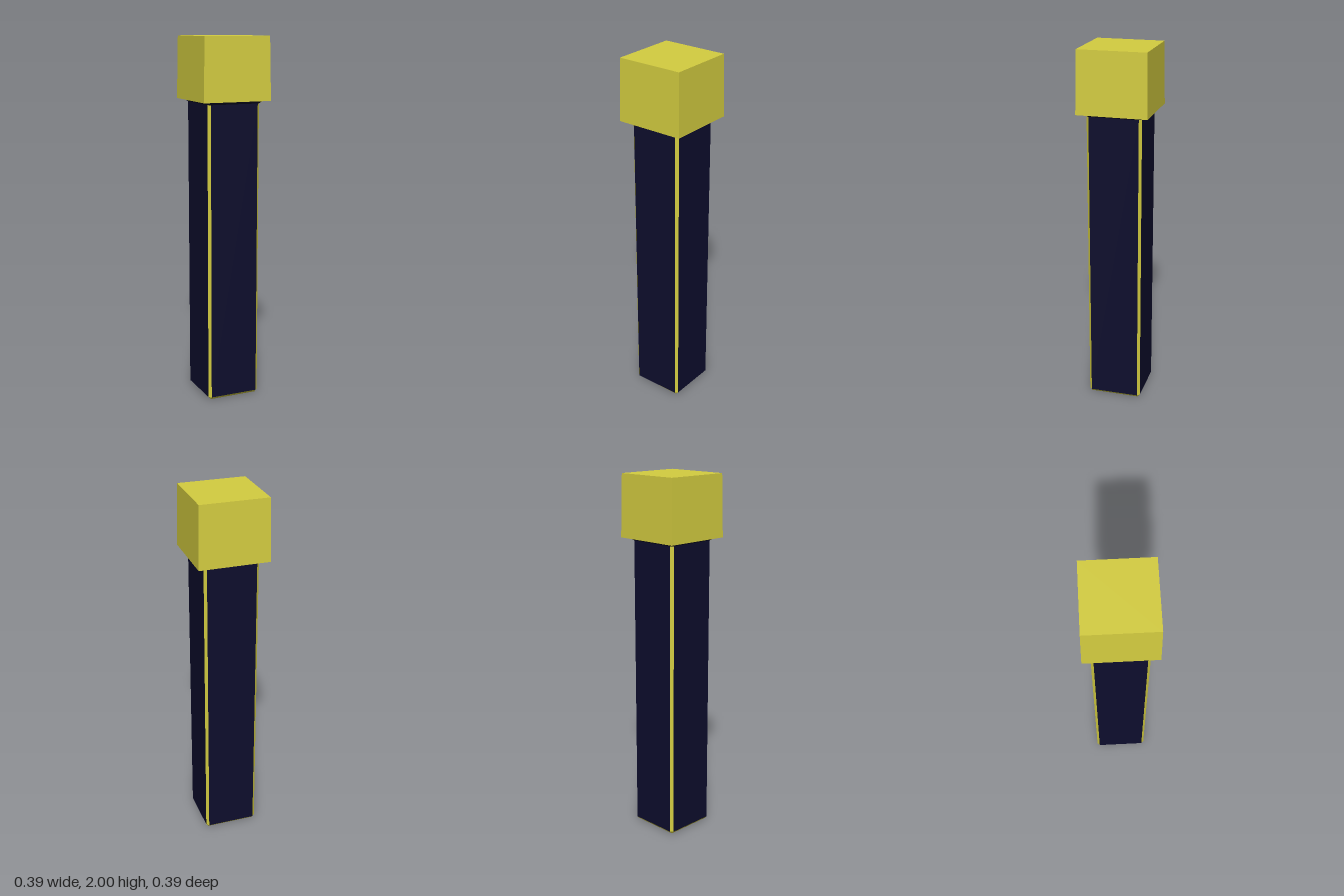
import * as THREE from 'three';

// Square cross-section with cut corners: a = half width, b = half width of the flat.
function ring(a, b, y) {
  const pts = [];
  let side = [[-b, a], [b, a]];
  for (let k = 0; k < 4; k++) {
    for (const [x, z] of side) pts.push([x, y, z]);
    side = side.map(([x, z]) => [z, -x]);
  }
  return pts;
}

// Strip between two rings; even spans are the flats, odd spans the corners.
function addBand(out, low, high, parity) {
  for (let i = parity; i < 8; i += 2) {
    const j = (i + 1) % 8;
    out.push(...low[i], ...low[j], ...high[j], ...low[i], ...high[j], ...high[i]);
  }
}

function makeMesh(name, positions, material) {
  const g = new THREE.BufferGeometry();
  g.setAttribute('position', new THREE.Float32BufferAttribute(positions, 3));
  g.computeVertexNormals();
  const mesh = new THREE.Mesh(g, material);
  mesh.name = name;
  return mesh;
}

export function createModel() {
  const model = new THREE.Group();
  model.name = 'post';
  const yellow = new THREE.MeshStandardMaterial({ color: 0xd4cd40 });
  yellow.name = 'yellow';
  const navy = new THREE.MeshStandardMaterial({ color: 0x0d0d2d });
  navy.name = 'navy';

  const foot = ring(0.136, 0.136, 0);
  const bottom = ring(0.15, 0.136, 0.015);
  const top = ring(0.15, 0.136, 1.645);
  const collar = ring(0.17, 0.156, 1.661);

  // Dark panels, underside and flared collar
  const panels = [];
  addBand(panels, bottom, top, 0);
  panels.push(...foot[0], ...foot[4], ...foot[2], ...foot[0], ...foot[6], ...foot[4]);
  model.add(makeMesh('shaftPanels', panels, navy));

  const flare = [];
  addBand(flare, top, collar, 0);
  addBand(flare, top, collar, 1);
  model.add(makeMesh('collar', flare, navy));

  // Bevelled trim along the corners and around the foot
  const trim = [];
  addBand(trim, bottom, top, 1);
  addBand(trim, foot, bottom, 0);
  addBand(trim, foot, bottom, 1);
  model.add(makeMesh('edgeTrim', trim, yellow));

  // Slightly tapered cap
  const capGeometry = new THREE.BoxGeometry(0.386, 0.34, 0.386);
  const p = capGeometry.attributes.position;
  for (let i = 0; i < p.count; i++) {
    if (p.getY(i) > 0) {
      p.setX(i, Math.sign(p.getX(i)) * 0.187);
      p.setZ(i, Math.sign(p.getZ(i)) * 0.187);
    }
  }
  capGeometry.computeVertexNormals();
  const cap = new THREE.Mesh(capGeometry, yellow);
  cap.name = 'cap';
  cap.position.y = 1.83;
  model.add(cap);

  return model;
}
